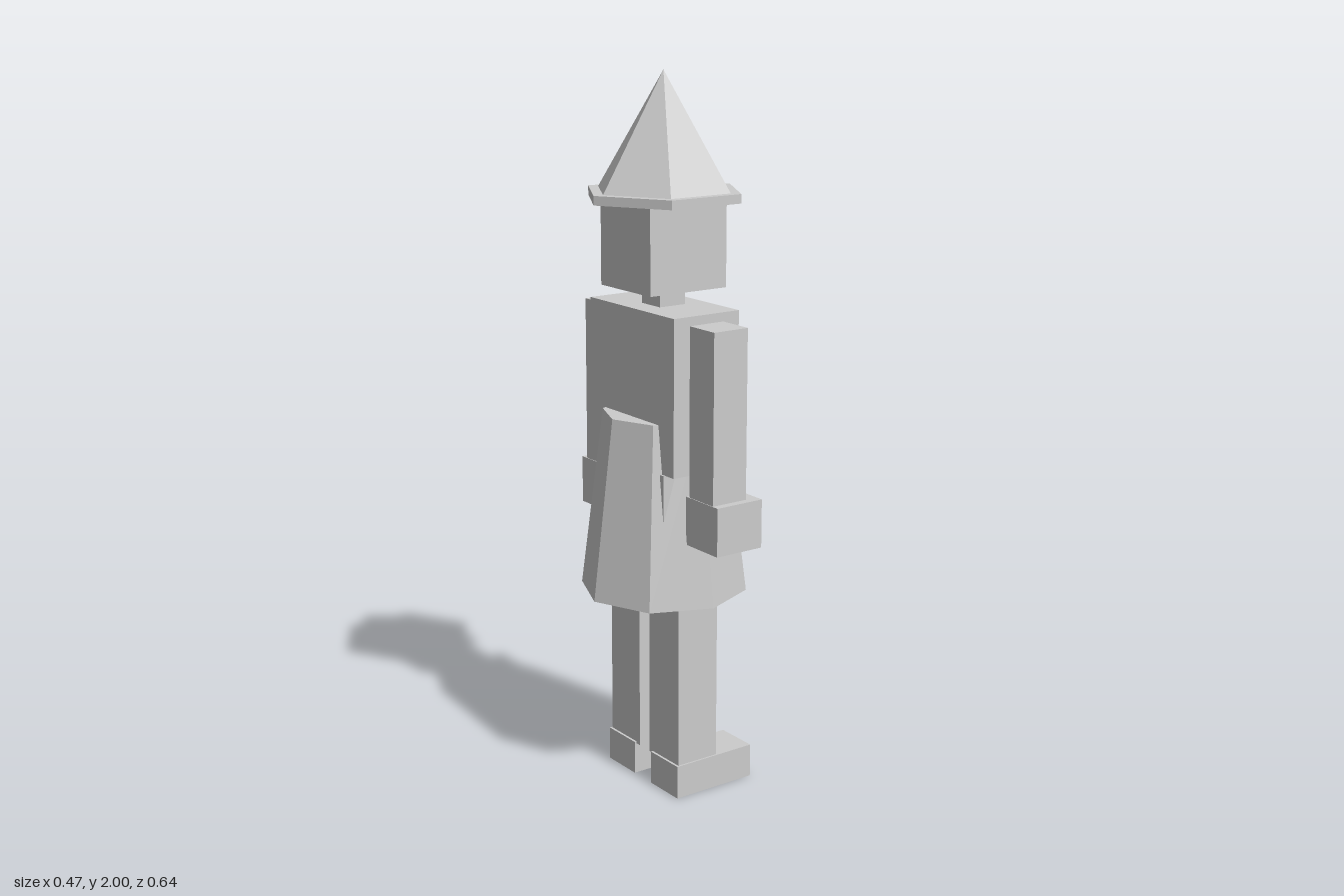
import * as THREE from 'three';

export function createModel() {
  const model = new THREE.Group();
  const gray = new THREE.MeshStandardMaterial({ color: 0xcccccc, flatShading: true });
  gray.name = 'light gray';

  const add = (name, geometry) => {
    const mesh = new THREE.Mesh(geometry, gray);
    mesh.name = name;
    model.add(mesh);
    return mesh;
  };
  // Box given by its extents on each axis
  const box = (name, [x0, x1], [y0, y1], [z0, z1]) =>
    add(name, new THREE.BoxGeometry(x1 - x0, y1 - y0, z1 - z0))
      .position.set((x0 + x1) / 2, (y0 + y1) / 2, (z0 + z1) / 2);
  // Faceted frustum with a corner pointing along +x
  const frustum = (name, rTop, rBottom, y0, y1, sides) => {
    const mesh = add(name, new THREE.CylinderGeometry(rTop, rBottom, y1 - y0, sides));
    mesh.position.y = (y0 + y1) / 2;
    mesh.rotation.y = Math.PI / 2;
  };

  // Hat
  frustum('hatCone', 0, 0.194, 1.685, 2, 6);
  frustum('hatBrim', 0.224, 0.224, 1.66, 1.685, 6);

  // Head, facing +x
  box('head', [-0.125, 0.125], [1.425, 1.66], [-0.115, 0.115]);
  box('nose', [0.125, 0.17], [1.495, 1.56], [-0.031, 0.031]);
  box('neck', [-0.042, 0.042], [1.375, 1.425], [-0.042, 0.042]);

  // Body
  box('torso', [-0.107, 0.107], [0.945, 1.377], [-0.195, 0.195]);
  box('button', [0.107, 0.157], [1.167, 1.236], [-0.035, 0.035]);
  box('hips', [-0.113, 0.113], [0.62, 0.945], [-0.157, 0.157]);
  frustum('skirt', 0.17, 0.234, 0.57, 1.078, 8);

  // Limbs, mirrored across z
  for (const s of [1, -1]) {
    const span = (a, b) => (s > 0 ? [a, b] : [-b, -a]);
    box('arm', [-0.055, 0.055], [0.885, 1.352], span(0.195, 0.3));
    box('hand', [-0.057, 0.092], [0.75, 0.885], span(0.183, 0.322));
    box('leg', [-0.066, 0.066], [0.09, 0.6], span(0.024, 0.163));
    box('foot', [-0.073, 0.186], [0, 0.096], span(0.04, 0.168));
  }
  return model;
}
